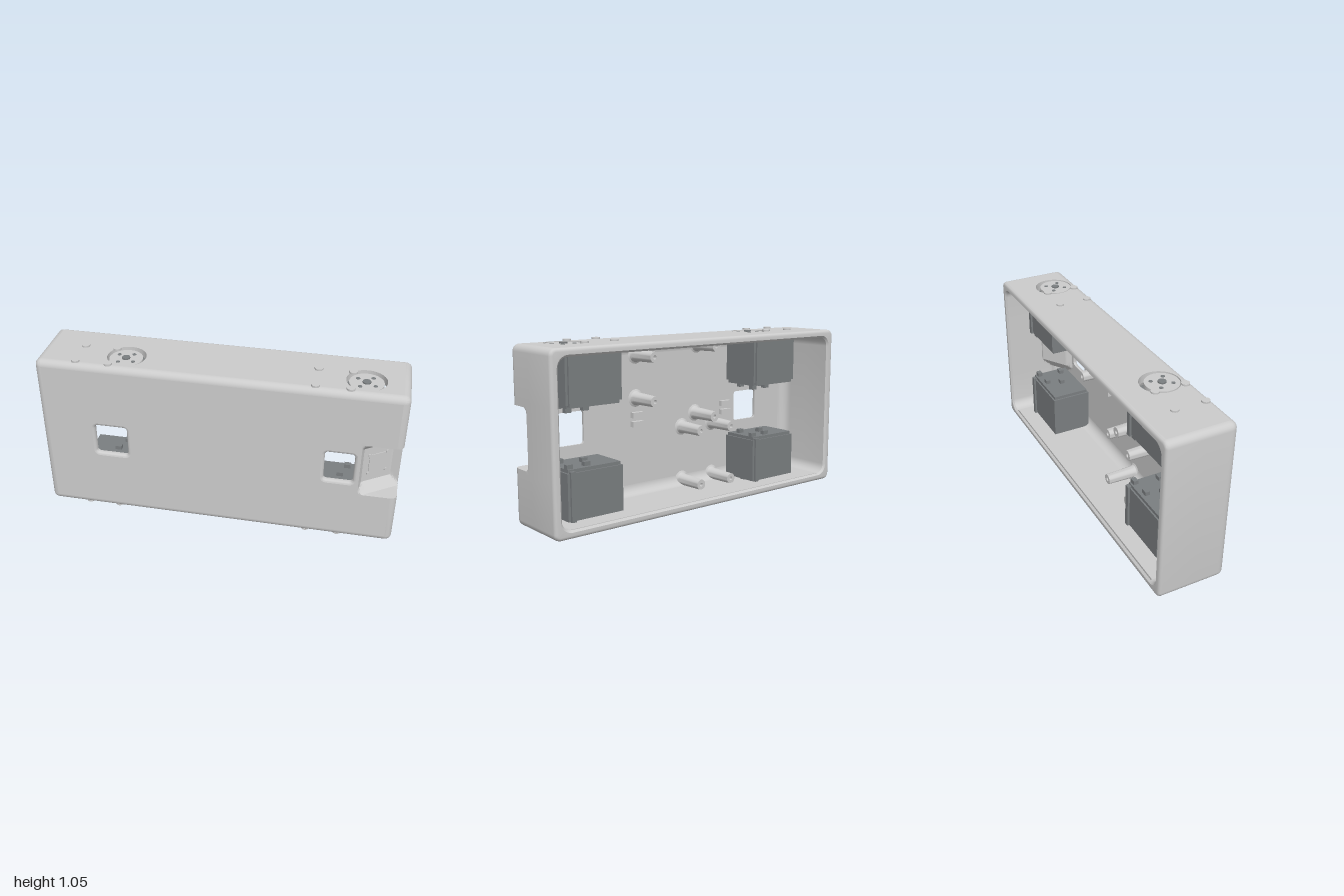
import * as THREE from 'three';
import { toCreasedNormals } from 'three/addons/utils/BufferGeometryUtils.js';

const W = 1.095, H = 0.517, D = 0.214, R = 0.04;      // outer half sizes and edge radius
const IW = 1.045, IH = 0.468, IR = 0.06, FLOOR = 0.185; // cavity half sizes, radius, floor depth
const SPLIT = 0.85, N = 6;
const grey = new THREE.MeshStandardMaterial({ color: 0xcccccc, side: THREE.DoubleSide });
const dark = new THREE.MeshStandardMaterial({ color: 0x7a7e80 });
const windows = [[-0.655, 0.1], [0.738, 0.088]];      // centre x, half width
const servoXs = [-0.568, 0.843];

// Height stations shared by the side wall and the faces
const half = [0.03, 0.06, 0.09, 0.12, 0.14, 0.16, 0.177, 0.179, 0.2, 0.202];
const ys = [...half.map(v => -v).reverse(), 0, ...half];

// Corner pocket: a slanted frustum cutting the front end edge
const mid = new THREE.Vector2(0.9775, 0.136);
const nrm = new THREE.Vector2(0.156, 0.235).normalize();
function carve(x, y, z, inner) {
  if (Math.abs(y) > (inner ? 0.2005 : 0.1775)) return [x, y, z];
  const dx = x - mid.x, dz = z - mid.y;
  const s = dx * nrm.x + dz * nrm.y, t = dx * nrm.y - dz * nrm.x;
  const rise = 0.9 * Math.max(Math.abs(t) - 0.1, Math.abs(y) - 0.12, 0);
  const cut = Math.max(0, s - (-0.035 + rise - (inner ? 0.02 : 0)));
  return [x - cut * nrm.x, y, z - cut * nrm.y];
}

// Rounded rectangle loop, counter-clockwise from the lower right
function loop(w, h, r, stations) {
  const pts = [-(h - r), ...stations, h - r].map(y => [w, y]);
  [[1, 1], [-1, 1], [-1, -1], [1, -1]].forEach(([sx, sy], q) => {
    for (let k = q ? 0 : 1; k <= (q === 3 ? N - 1 : N); k++) {
      const a = (q + k / N) * Math.PI / 2;
      pts.push([sx * (w - r) + r * Math.cos(a), sy * (h - r) + r * Math.sin(a)]);
    }
  });
  return pts;
}

// Skin over rows of points, leaving out collapsed triangles
function surface(rows, closed, skip = () => false) {
  const n = rows[0].length, pts = rows.flat(), idx = [];
  const apart = (a, b) => pts[a].some((v, i) => Math.abs(v - pts[b][i]) > 1e-6);
  const tri = (a, b, c) => {
    if (apart(a, b) && apart(b, c) && apart(c, a)) idx.push(a, b, c);
  };
  for (let i = 0; i + 1 < rows.length; i++) for (let j = 0; j < (closed ? n : n - 1); j++) {
    if (skip(i, j)) continue;
    const a = i * n + j, b = i * n + (j + 1) % n;
    tri(a, a + n, b);
    tri(b, a + n, b + n);
  }
  const g = new THREE.BufferGeometry();
  g.setAttribute('position', new THREE.Float32BufferAttribute(pts.flat(), 3));
  g.setIndex(idx);
  return toCreasedNormals(g, 0.5);
}

function add(parent, name, geo, mat, x = 0, y = 0, z = 0) {
  const m = new THREE.Mesh(geo, mat);
  m.name = name;
  m.position.set(x, y, z);
  parent.add(m);
}
const box = (w, h, d) => new THREE.BoxGeometry(w, h, d);
const cyl = (r, h, n = 24) => new THREE.CylinderGeometry(r, r, h, n);
const outline = pts => pts.map(([x, y]) => new THREE.Vector2(x, y));
const rect = (x0, x1, y0, y1) => new THREE.Shape(outline([[x0, y0], [x1, y0], [x1, y1], [x0, y1]]));

// Walls: loops lofted from the front edge over the rim into the cavity
function walls() {
  const secs = [];
  const push = (z, w, h, r, inner) => secs.push({ z, w, h, r, inner });
  for (let k = 0; k <= N; k++) {
    const a = k / N * Math.PI / 2, i = R * (1 - Math.sin(a));
    push(D - R + R * Math.cos(a), W - i, H - i, R - i, false);
  }
  for (let k = 1; k <= 14; k++) push(D - R - k * 0.011, W, H, R, false);
  for (let k = 0; k <= 4; k++) {
    const a = k / 4 * Math.PI / 2, i = 0.02 * (1 - Math.cos(a));
    push(-D + 0.02 - 0.02 * Math.sin(a), W - i, H - i, R - i, false);
  }
  push(-D, IW + 0.012, IH + 0.012, IR + 0.012, true);
  push(-D + 0.012, IW, IH, IR, true);
  for (let k = 0; k <= 12; k++) push(-0.01 + k * 0.01125, IW, IH, IR, true);
  for (let k = 1; k <= N; k++) {
    const a = k / N * Math.PI / 2, i = IR * (1 - Math.cos(a));
    push(FLOOR - IR + IR * Math.sin(a), IW - i, IH - i, IR - i, true);
  }
  const rows = secs.map(s => loop(s.w, s.h, s.r, ys).map(([x, y]) => carve(x, y, s.z, s.inner)));
  const first = ys.length + 2 + N - 1, second = first + 2 * N + 2;
  // the flat top and bottom are left open for the drilled plates
  return surface(rows, true, (i, j) => (j === first || j === second) && secs[i].h === secs[i + 1].h);
}

// Front or cavity face: a pierced sheet plus a finer strip at the pocket
function face(parent, name, z, w, h, grow, inner) {
  const s = rect(-w, SPLIT, -h, h);
  for (const [x, hw] of windows) {
    const hole = loop(hw + grow, 0.1 + grow, 0.02 + grow, []).map(([px, py]) => [px + x, py]);
    s.holes.push(new THREE.Path(outline(hole)));
  }
  add(parent, name, new THREE.ShapeGeometry(s), grey, 0, 0, z);
  const rows = [];
  for (let k = 0; k <= 18; k++) {
    const x = SPLIT + (w - SPLIT) * k / 18;
    rows.push([-h, ...ys, h].map(y => carve(x, y, z, inner)));
  }
  add(parent, name + 'Pocket', surface(rows, false), grey);
}

// Servo against the upper (s = 1) or lower (s = -1) wall
function servo(parent, x, s) {
  const g = new THREE.Group();
  g.name = 'servo';
  g.position.x = x;
  parent.add(g);
  add(g, 'servoBody', box(0.37, 0.275, 0.26), dark, -0.095, s * 0.327, 0.043);
  add(g, 'servoCase', box(0.35, 0.03, 0.24), dark, -0.095, s * 0.185, 0.043);
  add(g, 'servoRib', box(0.03, 0.29, 0.03), dark, 0.06, s * 0.325, -0.085);
  for (const [dx, dz] of [[0.06, -0.05], [0.03, 0.1], [-0.06, -0.04], [-0.1, 0.05]]) {
    add(g, 'connector', box(0.04, 0.04, 0.03), dark, dx, s * 0.165, dz);
  }
  // output horn with its screws, sitting in the wall opening
  add(g, 'shaft', cyl(0.04, 0.05), dark, 0, s * 0.475, 0.07);
  add(g, 'horn', cyl(0.1, 0.025, 32), grey, 0, s * 0.5, 0.07);
  add(g, 'hornScrew', cyl(0.024, 0.01), dark, 0, s * 0.516, 0.07);
  for (let k = 0; k < 4; k++) {
    const a = k * Math.PI / 2 + 0.6;
    add(g, 'hornHole', cyl(0.012, 0.004, 12), dark, 0.062 * Math.cos(a), s * 0.513, 0.07 + 0.062 * Math.sin(a));
  }
  for (const dx of [-0.28, -0.082]) for (const z of [-0.02, 0.168]) {
    add(g, 'wallScrew', cyl(0.025, 0.012, 16), grey, dx, s * (H + 0.004), z);
  }
}

export function createModel() {
  const model = new THREE.Group();
  model.name = 'enclosure';
  const root = new THREE.Group();
  root.name = 'case';
  root.position.y = 0.527;
  root.rotation.y = -0.946;
  model.add(root);

  add(root, 'walls', walls(), grey);
  face(root, 'frontFace', D, W - R, H - R, 0.018, false);
  face(root, 'cavityFloor', FLOOR, IW - IR, IH - IR, 0, true);

  // Rounded window linings
  for (const [x, hw] of windows) {
    const rows = [0, 1, 2, 3, 4, 5].map(k => {
      const a = Math.min(k, 4) / 4 * Math.PI / 2, g = 0.018 * (1 - Math.sin(a));
      const z = k === 5 ? FLOOR : D - 0.018 * (1 - Math.cos(a));
      return loop(hw + g, 0.1 + g, 0.02 + g, []).map(([px, py]) => [px + x, py, z]);
    });
    add(root, 'windowLining', surface(rows, true), grey);
  }

  // Drilled top and bottom walls with their servos
  const plate = rect(-(W - R), W - R, -(D - R), D - 0.02);
  for (const x of servoXs) plate.holes.push(new THREE.Path().absarc(x, -0.056, 0.117, 0, Math.PI * 2));
  const plateGeo = new THREE.ExtrudeGeometry(plate, { depth: H - IH, bevelEnabled: false, curveSegments: 24 });
  plateGeo.rotateX(-Math.PI / 2);
  for (const s of [1, -1]) {
    add(root, s > 0 ? 'topWall' : 'bottomWall', plateGeo, grey, 0, s > 0 ? IH : -H, 0);
    for (const x of servoXs) servo(root, x, s);
  }

  // Standoffs rising from the cavity floor
  const profile = outline([[0.055, 0], [0.044, 0.006], [0.038, 0.02], [0.033, 0.2], [0.012, 0.2], [0.012, 0.16], [0.001, 0.16]]);
  const post = toCreasedNormals(new THREE.LatheGeometry(profile, 24).rotateX(-Math.PI / 2), 0.6);
  const posts = [[0.27, 0.403], [0.27, 0.136], [-0.22, 0.44], [-0.206, -0.007],
    [-0.095, -0.087], [-0.351, -0.087], [-0.095, -0.437], [-0.351, -0.437]];
  for (const [x, y] of posts) add(root, 'standoff', post, grey, x, y, FLOOR);

  // Paired cable clips
  for (const x of [0.27, -0.46]) for (const y of [0.033, -0.024]) {
    add(root, 'cableClip', box(0.08, 0.034, 0.03), grey, x, y, FLOOR - 0.014);
  }

  // Square sensor plate with corner screws in the pocket
  const sensor = new THREE.Group();
  sensor.name = 'sensor';
  sensor.position.set(mid.x - 0.035 * nrm.x, 0, mid.y - 0.035 * nrm.y);
  sensor.rotation.y = Math.atan2(nrm.x, nrm.y);
  root.add(sensor);
  add(sensor, 'sensorPlate', box(0.12, 0.13, 0.008), grey);
  for (const sx of [-1, 1]) for (const sy of [-1, 1]) {
    add(sensor, 'sensorScrew', cyl(0.01, 0.016, 12).rotateX(Math.PI / 2), grey, sx * 0.06, sy * 0.065, 0);
  }
  return model;
}
